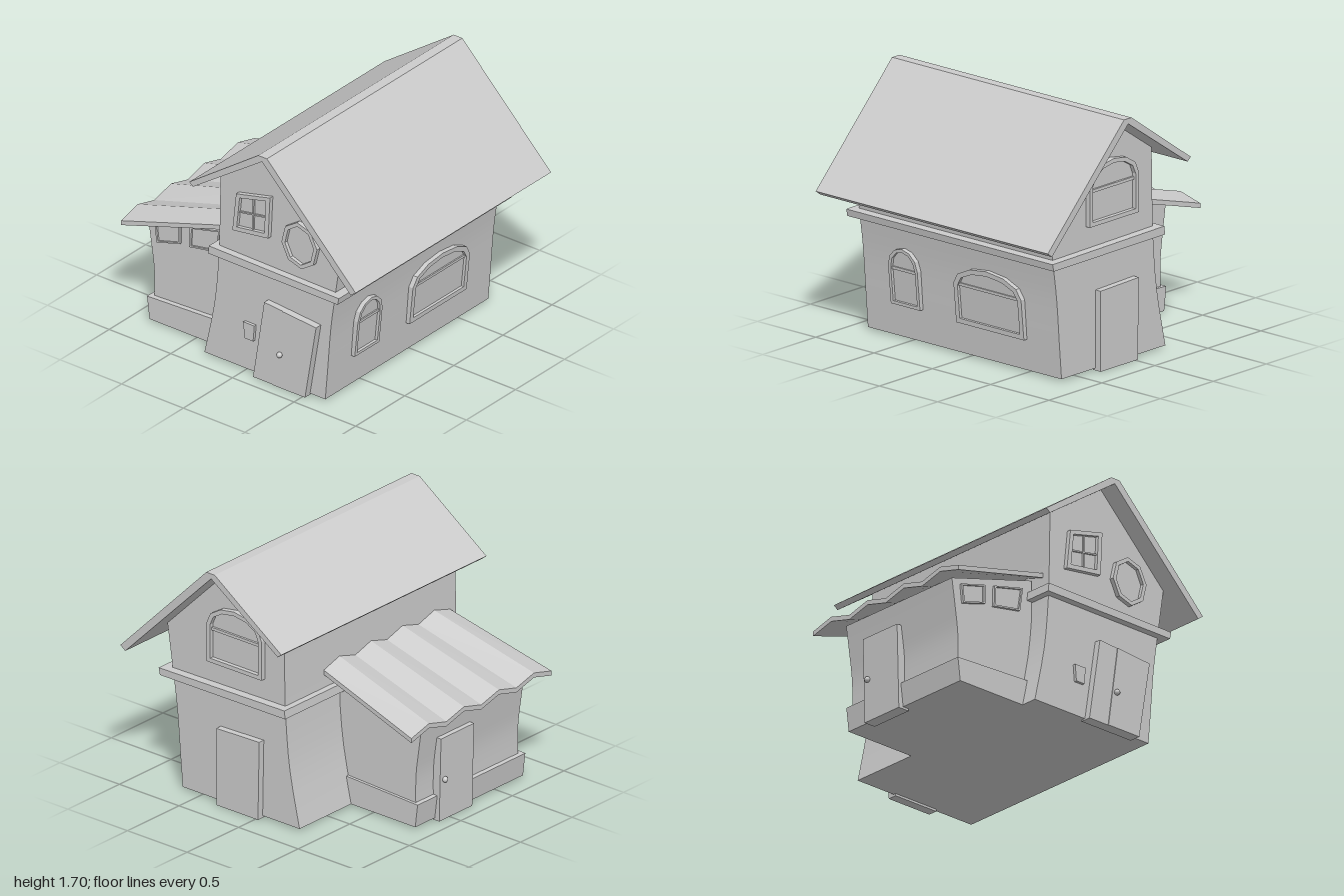
import * as THREE from 'three';
import { toCreasedNormals } from 'three/addons/utils/BufferGeometryUtils.js';

const grey = new THREE.MeshStandardMaterial({ color: 0xcccccc });
const V3 = (x, y, z) => new THREE.Vector3(x, y, z);

// A wall plane: u runs across, v runs up (may lean), n points outwards.
function plane(u, v, n, origin) {
  return new THREE.Matrix4().makeBasis(V3(...u), V3(...v), V3(...n)).setPosition(V3(...origin));
}
const FRONT = plane([1, 0, 0], [0, 1, 0], [0, 0, 1], [0, 0, 0.87]);
const BACK = plane([-1, 0, 0], [0, 1, 0], [0, 0, -1], [0, 0, -0.79]);
const RIGHT = plane([0, 0, -1], [0.1, 1, 0], [1, 0, 0], [0.648, 0, 0]);
const ANNEX_FRONT = plane([1, 0, 0], [0, 1, 0], [0, 0, 1], [0, 0, 0.72]);
const ANNEX_SIDE = plane([0, 0, 1], [-0.026, 1, 0], [-1, 0, 0], [-0.855, 0, 0]);

function toShape(points) {
  return new THREE.Shape(points.map(([x, y]) => new THREE.Vector2(x, y)));
}

// Extrudes an outline from depth a to depth b.
function slab(points, a, b, hole) {
  const shape = toShape(points);
  if (hole) shape.holes.push(toShape(hole));
  return new THREE.ExtrudeGeometry(shape, { depth: b - a, bevelEnabled: false }).translate(0, 0, a);
}

function add(parent, name, geometry, matrix) {
  if (matrix) geometry.applyMatrix4(matrix);
  const mesh = new THREE.Mesh(geometry, grey);
  mesh.name = name;
  parent.add(mesh);
  return mesh;
}

// Shrinks an outline about its middle by a border width.
function inset(points, border) {
  const box = new THREE.Box2().setFromPoints(points.map(([x, y]) => new THREE.Vector2(x, y)));
  const c = box.getCenter(new THREE.Vector2()), s = box.getSize(new THREE.Vector2());
  return points.map(([x, y]) => [
    c.x + (x - c.x) * (1 - 2 * border / s.x),
    c.y + (y - c.y) * (1 - 2 * border / s.y)]);
}

function rect(x0, y0, x1, y1) {
  return [[x0, y0], [x1, y0], [x1, y1], [x0, y1]];
}

// Rectangle topped with a faceted arch.
function arch(x0, x1, y0, spring, top) {
  const pts = [[x0, y0], [x1, y0]];
  for (let i = 0; i <= 6; i++) {
    const a = i / 6 * Math.PI;
    pts.push([(x0 + x1) / 2 + (x1 - x0) / 2 * Math.cos(a), spring + (top - spring) * Math.sin(a)]);
  }
  return pts;
}

// Raised frame, recessed pane and optional glazing bars.
function makeWindow(parent, name, matrix, outline, border, depth, bars = []) {
  const group = new THREE.Group();
  group.name = name;
  const inner = inset(outline, border);
  add(group, 'frame', slab(outline, -0.03, depth, inner), matrix);
  add(group, 'pane', slab(inner, -0.03, 0.006), matrix);
  for (const bar of bars) add(group, 'glazingBar', slab(bar, 0, depth * 0.6), matrix);
  parent.add(group);
}

function knob(parent, x, y, z) {
  const mesh = add(parent, 'doorKnob', new THREE.SphereGeometry(0.02, 10, 8));
  mesh.position.set(x, y, z);
}

// Smooth curve through points, sampled as an array.
function bend(points, n = 12) {
  return new THREE.SplineCurve(points.map(([x, y]) => new THREE.Vector2(x, y)))
    .getPoints(n).map(p => [p.x, p.y]);
}

export function createModel() {
  const model = new THREE.Group();
  model.name = 'crookedHouse';

  // Main house: bowed side walls and an uneven gable
  const house = [
    ...bend([[0.65, 0.02], [0.67, 0.25], [0.695, 0.55], [0.73, 0.8], [0.78, 1.14]]),
    [0.24, 1.67],
    ...bend([[-0.2, 1.37], [-0.205, 1.05], [-0.215, 0.75], [-0.25, 0.4], [-0.33, 0.02]])];
  add(model, 'houseWalls', toCreasedNormals(slab(house, -0.79, 0.87), 0.5));

  // Main roof: bent slab
  const roof = [[-0.35, 1.31], [-0.32, 1.285], [0.24, 1.665], [0.96, 0.945],
    [1, 0.975], [0.28, 1.7], [0.21, 1.7]];
  add(model, 'mainRoof', slab(roof, -0.99, 1));

  // Ledge around the house between the floors
  add(model, 'ledge', slab([[-0.26, 0.785], [0.79, 0.78], [0.8, 0.828], [-0.255, 0.842]], -0.85, 0.92));

  // Annex walls and plinth
  const annex = [[-0.22, 0.02], [-0.22, 0.935],
    ...bend([[-0.908, 0.74], [-0.88, 0.55], [-0.858, 0.38], [-0.855, 0.2], [-0.86, 0.02]])];
  add(model, 'annexWalls', toCreasedNormals(slab(annex, -0.27, 0.72), 0.5));
  add(model, 'annexPlinth', slab([[-0.868, 0.02], [-0.25, 0.02], [-0.25, 0.205], [-0.888, 0.18]], -0.29, 0.755));

  // Corrugated annex roof: zigzag slab, rising and narrowing towards the house
  const ridge = i => [-0.68 + 0.17 * i, i % 2 ? 0.79 : 0.745];
  const top = Array.from({ length: 9 }, (_, i) => ridge(i));
  const under = top.map(([x, y]) => [x, y - 0.032]).reverse();
  const corrugated = slab([...top, ...under], 0, 1);
  const p = corrugated.attributes.position;
  for (let i = 0; i < p.count; i++) {
    const u = p.getX(i), v = p.getY(i), w = p.getZ(i);
    p.setXYZ(i, -1 + 0.8 * w, v + 0.218 * w, 0.2 - u * (1 - 0.1 * w));
  }
  corrugated.computeVertexNormals();
  add(model, 'annexRoof', corrugated);

  // Leaning front door in two leaves
  add(model, 'frontDoorSideLeaf', slab([[0.1, 0.01], [0.26, 0.01], [0.34, 0.573], [0.19, 0.585]], -0.03, 0.045), FRONT);
  add(model, 'frontDoorMainLeaf', slab([[0.26, 0.01], [0.525, 0.01], [0.615, 0.55], [0.34, 0.573]], -0.03, 0.05), FRONT);
  knob(model, 0.325, 0.255, 0.93);

  // Back and annex doors
  add(model, 'backDoor', slab([[-0.33, 0.005], [0.02, 0.005], [0.03, 0.55], [-0.33, 0.54]], -0.02, 0.045), BACK);
  add(model, 'annexDoor', slab(rect(-0.1, 0.005, 0.22, 0.585), -0.035, 0.05), ANNEX_SIDE);
  knob(model, -0.92, 0.29, -0.06);

  // Letter box beside the front door
  add(model, 'letterBox', slab([[0.01, 0.25], [0.08, 0.25], [0.09, 0.365], [0, 0.365]], -0.02, 0.02), FRONT);

  // Front upper windows
  makeWindow(model, 'crookedWindow', FRONT,
    [[-0.08, 1.01], [0.21, 1.05], [0.225, 1.35], [-0.05, 1.285]], 0.035, 0.03, [
      [[-0.04, 1.147], [0.19, 1.185], [0.19, 1.195], [-0.04, 1.157]],
      [[0.071, 1.05], [0.081, 1.05], [0.085, 1.3], [0.075, 1.3]]]);
  const octagon = Array.from({ length: 8 }, (_, i) => {
    const a = i / 8 * Math.PI * 2 + 0.12;
    return [0.462 + 0.145 * Math.cos(a), 1.085 + 0.165 * Math.sin(a)];
  });
  makeWindow(model, 'octagonWindow', FRONT, octagon, 0.028, 0.03);

  // Arched windows on the right and back
  makeWindow(model, 'smallArchedWindow', RIGHT, arch(-0.63, -0.38, 0.24, 0.5, 0.632), 0.022, 0.026,
    [rect(-0.62, 0.475, -0.39, 0.495)]);
  makeWindow(model, 'largeArchedWindow', RIGHT, arch(-0.07, 0.51, 0.23, 0.5, 0.635), 0.033, 0.026,
    [rect(-0.05, 0.485, 0.49, 0.505)]);
  makeWindow(model, 'backArchedWindow', BACK, arch(-0.42, 0.04, 0.98, 1.25, 1.39), 0.028, 0.035,
    [rect(-0.4, 1.2, 0.02, 1.22)]);

  // Slanted annex windows
  const annexWindows = [
    [[-0.825, 0.585], [-0.635, 0.64], [-0.635, 0.77], [-0.84, 0.715]],
    [[-0.56, 0.645], [-0.335, 0.685], [-0.31, 0.85], [-0.555, 0.79]]];
  for (const outline of annexWindows) {
    makeWindow(model, 'annexWindow', ANNEX_FRONT, outline, 0.014, 0.018);
  }
  return model;
}
